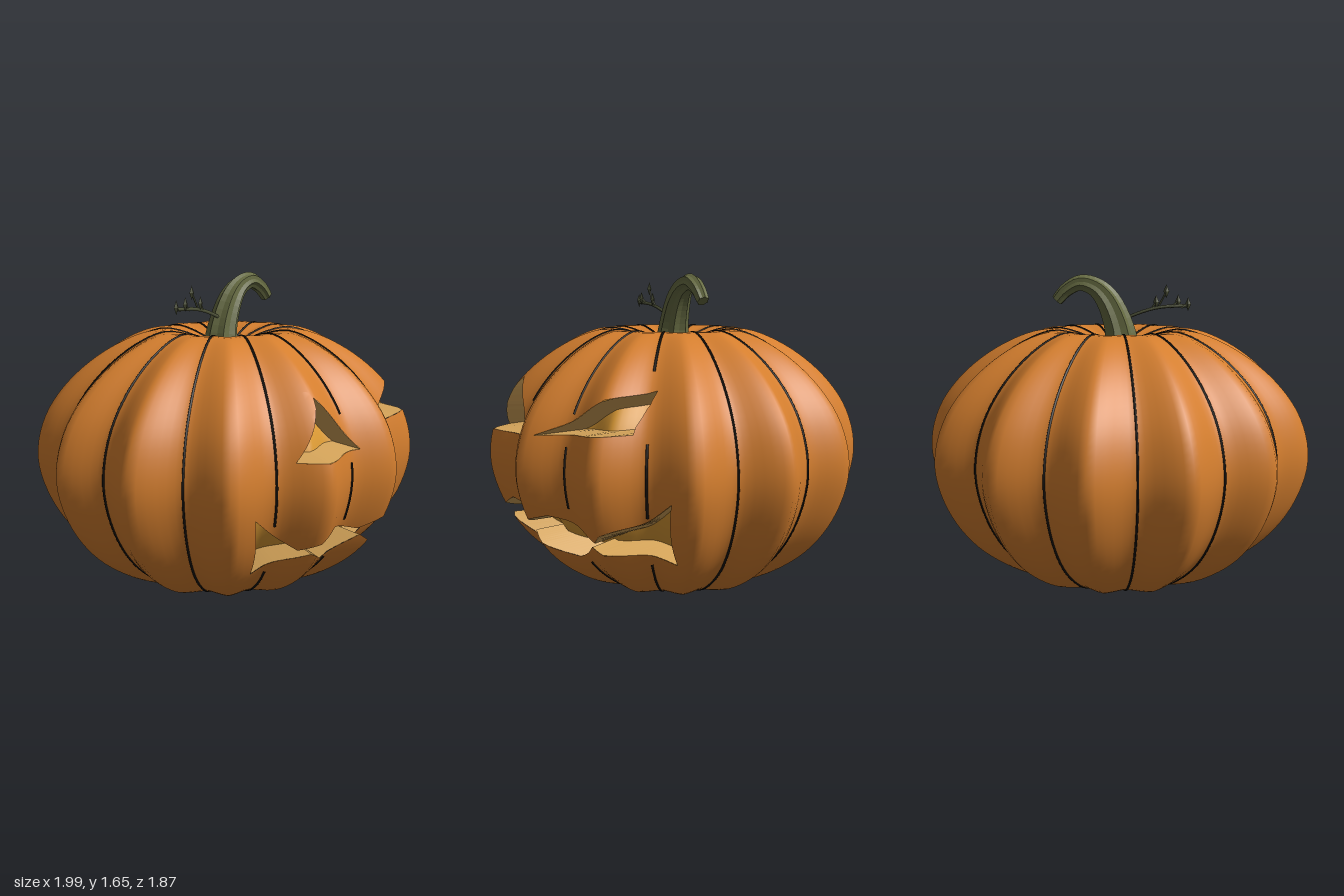
import * as THREE from 'three';

const LOBES = 13, CORE = 0.84, MID = 0.73, ZC = 0.015;
const V2 = (p) => new THREE.Vector2(p[0], p[1]);

// Outline of a rib, from the underside to the dip around the stem
const profile = new THREE.SplineCurve([
  [0, 0.035], [0.15, 0.04], [0.4, 0.068], [0.6, 0.15], [0.8, 0.3], [0.94, 0.5], [1.003, 0.73], [0.955, 0.95],
  [0.82, 1.135], [0.62, 1.285], [0.4, 1.37], [0.22, 1.345], [0.08, 1.29], [0, 1.28],
].map(V2)).getSpacedPoints(60);

// Carved openings, counterclockwise in x and y, with the point they narrow towards
const openings = [
  { name: 'rightEye', centre: [-0.12, 1.0], pts: [[-0.34, 0.875], [0.06, 0.875], [-0.18, 1.14]] },
  { name: 'leftEye', centre: [0.49, 1.04], pts: [[0.28, 0.92], [0.67, 0.96], [0.615, 1.14]] },
  { name: 'mouth', centre: [0.12, 0.5], pts: [
    [-0.42, 0.315], [-0.24, 0.425], [-0.04, 0.315], [0.13, 0.425], [0.3, 0.315], [0.51, 0.425], [0.74, 0.36],
    [0.83, 0.67], [0.57, 0.46], [0.31, 0.54], [0.1, 0.465], [-0.12, 0.535], [-0.29, 0.445], [-0.52, 0.63]] },
];

// Rib factor: 1 on a ridge, smaller in the rounded valleys
function rib(theta) {
  const u = theta * LOBES / (2 * Math.PI), t = 2 * Math.abs(u - Math.round(u));
  return 0.885 + 0.115 * (0.25 * (1 - Math.cos(Math.PI * t)) + 0.5 * t ** 1.6);
}
function skinPoint(theta, p, lift = 0) {
  const r = p.x * rib(theta) + lift;
  return new THREE.Vector3(r * Math.sin(theta), p.y, ZC + 0.945 * r * Math.cos(theta));
}
function radiusAt(y) {
  for (let i = 1; i < profile.length; i++) {
    const a = profile[i - 1], b = profile[i];
    if (a.y <= y && b.y > y) return a.x + (b.x - a.x) * (y - a.y) / (b.y - a.y);
  }
  return 0;
}
// Front depth of the skin at x, y
function skinZ(x, y) {
  const R = radiusAt(y);
  for (let z = 1; z > 0.3; z -= 0.002) {
    const d = (z - ZC) / 0.945;
    if (Math.hypot(x, d) <= R * rib(Math.atan2(x, d))) return z;
  }
  return 0.3;
}
const coreZ = (x, y) => ZC + CORE * (skinZ(x / CORE, MID + (y - MID) / CORE) - ZC);

// Closed loops of points joined row by row
function loft(cols, rows, fn) {
  const pos = [], idx = [];
  for (let j = 0; j < rows; j++) for (let i = 0; i < cols; i++) pos.push(...fn(i, j).toArray());
  for (let j = 0; j < rows - 1; j++) for (let i = 0; i < cols; i++) {
    const a = j * cols + i, b = j * cols + (i + 1) % cols;
    idx.push(a, b, b + cols, a, b + cols, a + cols);
  }
  const g = new THREE.BufferGeometry();
  g.setAttribute('position', new THREE.Float32BufferAttribute(pos, 3));
  g.setIndex(idx);
  g.computeVertexNormals();
  return g;
}
function faceted(g) {
  const f = g.toNonIndexed();
  f.computeVertexNormals();
  return f;
}

// Keep the part of a polygon where side(p) >= 0
function clip(poly, side) {
  const out = [];
  poly.forEach((p, i) => {
    const q = poly[(i + 1) % poly.length], a = side(p), b = side(q);
    if (a >= 0) out.push(p);
    if (a * b < 0) out.push(p.map((v, k) => v + (q[k] - v) * a / (a - b)));
  });
  return out;
}
function subtract(piece, tri) {
  const out = [];
  for (let i = 0; i < 3 && piece.length > 2; i++) {
    const a = tri[i], b = tri[(i + 1) % 3];
    const side = (p) => (b.x - a.x) * (p[1] - a.y) - (b.y - a.y) * (p[0] - a.x);
    const rest = clip(piece, (p) => -side(p));
    if (rest.length > 2) out.push(rest);
    piece = clip(piece, side);
  }
  return out;
}
// Cut the openings through the front of the skin
function carve(g) {
  const cutters = openings.flatMap(({ pts }) => {
    const v = pts.map(V2);
    return THREE.ShapeUtils.triangulateShape(v, []).map((f) => {
      const t = f.map((k) => v[k]);
      return THREE.ShapeUtils.area(t) < 0 ? t.reverse() : t;
    });
  });
  const P = g.attributes.position, N = g.attributes.normal, pos = [], nor = [];
  const vert = (k) => [P.getX(k), P.getY(k), P.getZ(k), N.getX(k), N.getY(k), N.getZ(k)];
  for (let i = 0; i < g.index.count; i += 3) {
    const tri = [0, 1, 2].map((k) => vert(g.index.getX(i + k)));
    let pieces = [tri];
    if (tri[0][2] > 0.2) {
      for (const c of cutters) {
        const x = c.map((p) => p.x), y = c.map((p) => p.y);
        pieces = pieces.flatMap((p) => (
          p.every((v) => v[0] < Math.min(...x)) || p.every((v) => v[0] > Math.max(...x)) ||
          p.every((v) => v[1] < Math.min(...y)) || p.every((v) => v[1] > Math.max(...y))) ? [p] : subtract(p, c));
      }
    }
    for (const p of pieces) for (let k = 1; k < p.length - 1; k++) for (const v of [p[0], p[k], p[k + 1]]) {
      pos.push(v[0], v[1], v[2]);
      nor.push(v[3], v[4], v[5]);
    }
  }
  const out = new THREE.BufferGeometry();
  out.setAttribute('position', new THREE.Float32BufferAttribute(pos, 3));
  out.setAttribute('normal', new THREE.Float32BufferAttribute(nor, 3));
  return out;
}

export function createModel() {
  const root = new THREE.Group();
  root.name = 'carvedPumpkin';
  const mat = (name, color, side = THREE.FrontSide) => {
    const m = new THREE.MeshStandardMaterial({ color, side });
    m.name = name;
    return m;
  };
  const skin = mat('orangeSkin', 0xd47e2e), flesh = mat('paleFlesh', 0xd6a55a, THREE.DoubleSide);
  const glow = mat('amberInside', 0xdb9a35), black = mat('blackSeam', 0x120d08);
  const green = mat('stemGreen', 0x666b42), dark = mat('vineGreen', 0x50543a);
  const add = (name, geo, m, parent = root) => {
    const mesh = new THREE.Mesh(geo, m);
    mesh.name = name;
    parent.add(mesh);
    return mesh;
  };

  // Ribbed body and the smaller core seen through the openings
  const cols = LOBES * 12;
  const body = loft(cols, profile.length, (i, j) => skinPoint(i / cols * 2 * Math.PI, profile[j]));
  add('body', carve(body), skin);
  add('core', body.clone().translate(0, -MID, -ZC).scale(CORE, CORE, CORE).translate(0, MID, ZC), glow);
  const nub = add('bottomNub', new THREE.ConeGeometry(0.03, 0.045, 8), skin);
  nub.rotation.x = Math.PI;
  nub.position.set(0, 0.0225, ZC);

  // Cut walls of the eyes and mouth
  for (const { name, centre, pts } of openings) {
    const n = 16;
    const wall = loft(pts.length * n, 2, (i, j) => {
      const e = Math.floor(i / n), p = V2(pts[e]).lerp(V2(pts[(e + 1) % pts.length]), (i % n) / n);
      if (j === 0) return new THREE.Vector3(p.x, p.y, skinZ(p.x, p.y));
      p.lerp(V2(centre), 0.14);
      return new THREE.Vector3(p.x, p.y, coreZ(p.x, p.y) - 0.01);
    });
    add(name + 'Wall', faceted(wall), flesh);
  }

  // Dark seams in the valleys, broken around the face
  const gaps = { 0: [[0.32, 0.53], [0.83, 1.03]], 1: [[0.3, 0.58], [0.88, 1.02]], 2: [[0.34, 0.58], [0.93, 1.21]], 12: [[0.31, 0.57]] };
  const seams = new THREE.Group();
  seams.name = 'seams';
  root.add(seams);
  for (let k = 0; k < LOBES; k++) {
    let from = 0;
    for (const [lo, hi] of [...(gaps[k] || []), [9, 9]]) {
      const path = [];
      for (let s = 0; s < (profile.length - 1) * 4; s++) {
        const a = profile[s >> 2], p = a.clone().lerp(profile[(s >> 2) + 1], (s % 4) / 4);
        if (p.x > 0.02 && p.y >= from && p.y <= lo) path.push(skinPoint(k / LOBES * 2 * Math.PI, p, 0.001));
      }
      add('seam', new THREE.TubeGeometry(new THREE.CatmullRomCurve3(path), 50, 0.0065, 5), black, seams);
      from = hi;
    }
  }

  // Hooked, ribbed stem
  const spine = new THREE.CatmullRomCurve3([[-0.025, 1.26], [-0.012, 1.38], [0.045, 1.52], [0.11, 1.588], [0.19, 1.61],
    [0.265, 1.573], [0.315, 1.52]].map(([x, y]) => new THREE.Vector3(x, y, 0)));
  const radii = [0.095, 0.077, 0.063, 0.05, 0.041, 0.036, 0.031];
  const stem = loft(14, 26, (i, j) => {
    const t = Math.min(j, 24) / 24, c = spine.getPoint(t), d = spine.getTangent(t);
    const k = Math.min(5, Math.floor(t * 6)), a = i / 14 * 2 * Math.PI;
    const r = j > 24 ? 0 : THREE.MathUtils.lerp(radii[k], radii[k + 1], t * 6 - k) * (i % 2 ? 0.85 : 1.03);
    return new THREE.Vector3(c.x - d.y * r * Math.cos(a), c.y + d.x * r * Math.cos(a), r * Math.sin(a));
  });
  add('stem', faceted(stem), green);

  // Thin vine with small diamond leaves
  const vine = new THREE.Group();
  vine.name = 'vine';
  root.add(vine);
  const twig = (name, pts, r) => add(name, new THREE.TubeGeometry(
    new THREE.CatmullRomCurve3(pts.map((p) => new THREE.Vector3(...p))), 10, r, 5), dark, vine);
  twig('vineStalk', [[-0.04, 1.43, 0.01], [-0.13, 1.465, 0.02], [-0.22, 1.488, 0.03], [-0.36, 1.497, 0.042]], 0.009);
  const leaves = [[-0.365, 1.505, 0.042], [-0.313, 1.518, 0.05], [-0.253, 1.57, 0.03], [-0.2, 1.515, 0.035]];
  const roots = [-0.33, -0.27, -0.21, -0.18];
  leaves.forEach((p, i) => {
    twig('leafStalk', [[roots[i], 1.485, 0.03], p], 0.005);
    const leaf = add('leaf', new THREE.OctahedronGeometry(1), dark, vine);
    leaf.scale.set(0.015, 0.036, 0.012);
    leaf.position.set(...p);
  });
  return root;
}
